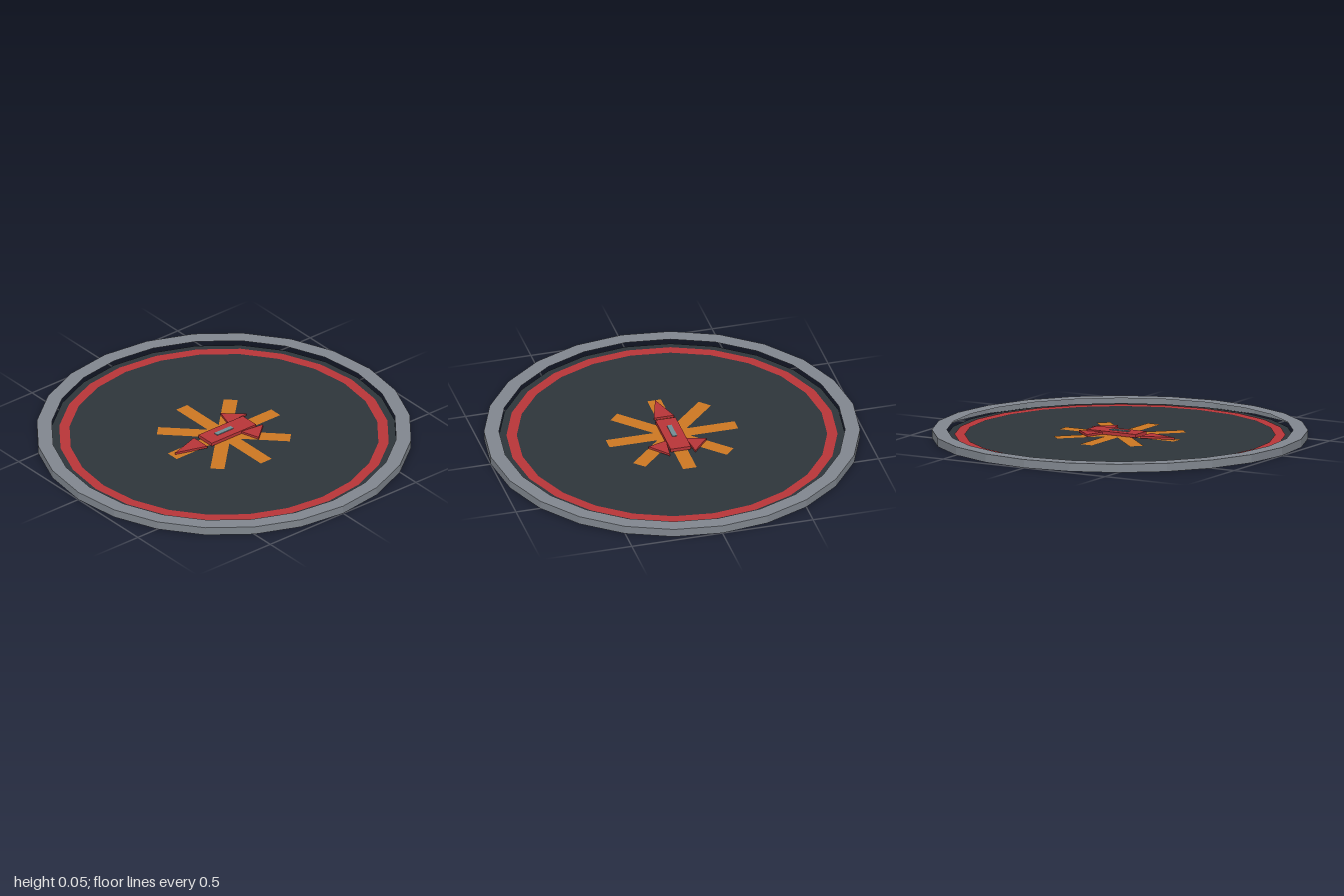
import * as THREE from 'three';

const SIDES = 24;
const FLOOR_Y = 0.018;

function material(name, color, side = THREE.FrontSide) {
  const m = new THREE.MeshStandardMaterial({ color, side, flatShading: true });
  m.name = name;
  return m;
}

export function createModel() {
  const group = new THREE.Group();
  const grey = material('rim grey', 0x80868e, THREE.DoubleSide);
  const dark = material('floor charcoal', 0x2d353a, THREE.DoubleSide);
  const red = material('marking red', 0xb83538);
  const orange = material('star orange', 0xcc7722);
  const teal = material('window teal', 0x6f8d94);

  function add(name, geometry, mat, x = 0, y = 0, z = 0) {
    const mesh = new THREE.Mesh(geometry, mat);
    mesh.name = name;
    mesh.position.set(x, y, z);
    group.add(mesh);
    return mesh;
  }

  // Flat ring or disc lying level
  const ring = (inner, outer) => new THREE.RingGeometry(inner, outer, SIDES).rotateX(-Math.PI / 2);

  // Upright plate cut from a triangle of [x, z] corners
  function trianglePlate(corners, height) {
    const shape = new THREE.Shape(corners.map(([x, z]) => new THREE.Vector2(x, -z)));
    return new THREE.ExtrudeGeometry(shape, { depth: height, bevelEnabled: false }).rotateX(-Math.PI / 2);
  }

  // Rim: outer wall and top lip, hollow underneath
  add('rimWall', new THREE.CylinderGeometry(1, 1, 0.045, SIDES, 1, true), grey, 0, 0.0225, 0);
  add('rimLip', ring(0.92, 1), grey, 0, 0.045, 0);

  // Floor and its painted ring
  add('floor', new THREE.CircleGeometry(0.92, SIDES).rotateX(-Math.PI / 2), dark, 0, FLOOR_Y, 0);
  add('paintedRing', ring(0.825, 0.88), red, 0, FLOOR_Y + 0.002, 0);

  // Eight-armed painted star
  for (let i = 0; i < 4; i++) {
    const bar = new THREE.PlaneGeometry(0.71, 0.075).rotateX(-Math.PI / 2);
    add('starBar', bar, orange, 0, FLOOR_Y + 0.003, 0).rotation.y = i * Math.PI / 4;
  }

  // Central emblem: body, window, nose and two fins
  add('emblemBody', new THREE.BoxGeometry(0.112, 0.018, 0.305), red, 0, 0.032, -0.0225);
  add('emblemWindow', new THREE.BoxGeometry(0.026, 0.004, 0.112), teal, 0, 0.043, 0);
  add('emblemNose', trianglePlate([[-0.056, 0.16], [0, 0.335], [0.056, 0.16]], 0.012), red, 0, 0.023, 0);
  for (const s of [-1, 1]) {
    const fin = trianglePlate([[s * 0.16, -0.108], [s * 0.07, -0.212], [s * 0.054, -0.075]], 0.012);
    add(s > 0 ? 'leftFin' : 'rightFin', fin, red, 0, 0.023, 0);
  }
  return group;
}
